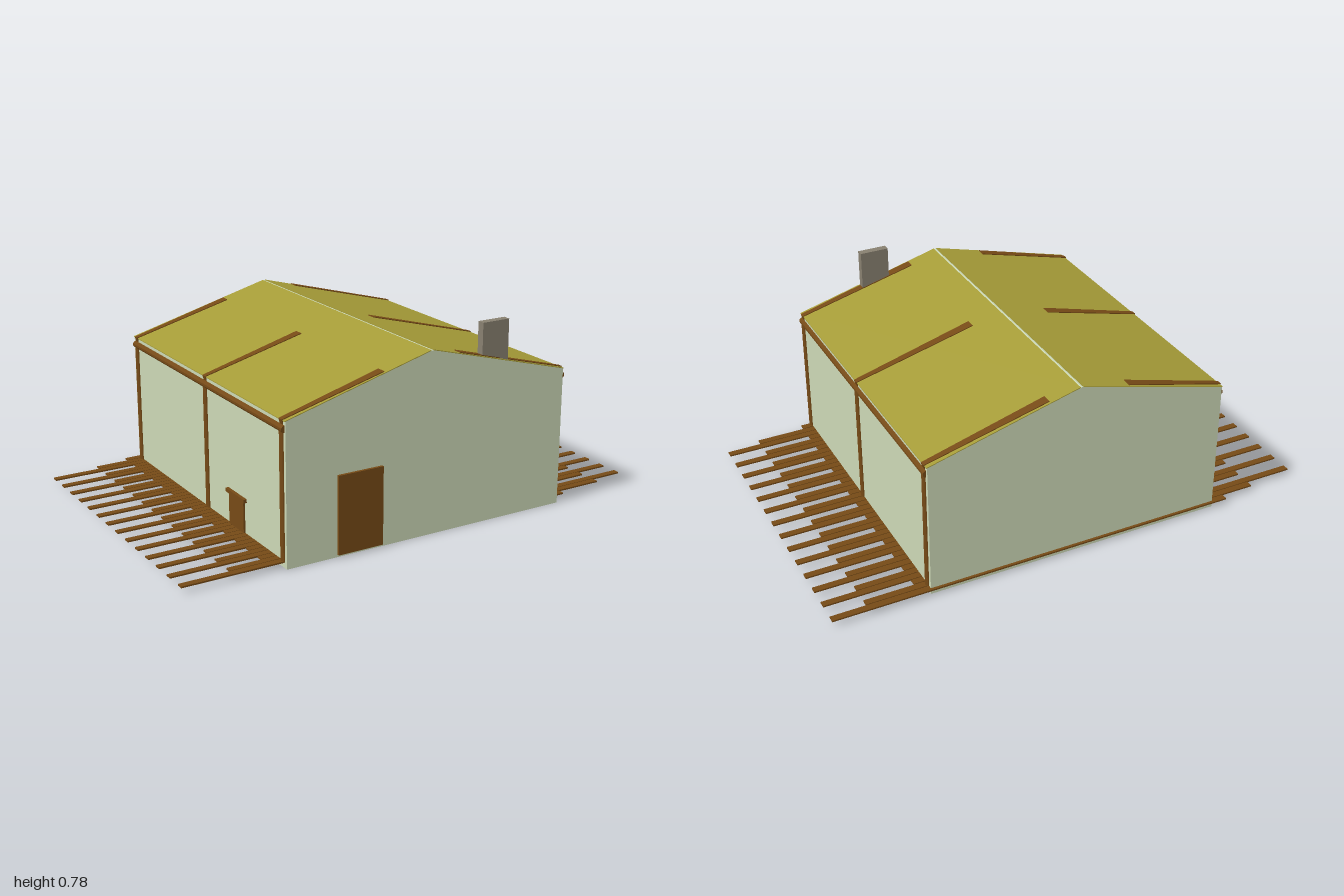
import * as THREE from 'three';

const CX = 0.008;      // ridge line
const HALF = 0.607;    // half width of the house
const EAVE = 0.55, RIDGE = 0.713;
const BACK = -0.635, FRONT = 0.632;

const mat = (color) => new THREE.MeshStandardMaterial({ color, flatShading: true });

export function createModel() {
  const model = new THREE.Group();
  const wall = mat(0xccd8b6);
  const roof = mat(0xa69c38);
  const wood = mat(0x764a16);
  const stone = mat(0x888070);

  const add = (name, geometry, material, x = 0, y = 0, z = 0) => {
    const mesh = new THREE.Mesh(geometry, material);
    mesh.name = name;
    mesh.position.set(x, y, z);
    model.add(mesh);
    return mesh;
  };
  // Box given by its lower and upper corners
  const box = (name, material, x0, x1, y0, y1, z0, z1) =>
    add(name, new THREE.BoxGeometry(x1 - x0, y1 - y0, z1 - z0), material,
      (x0 + x1) / 2, (y0 + y1) / 2, (z0 + z1) / 2);

  // House body with its gables
  const gable = new THREE.Shape([
    [-HALF, 0], [HALF, 0], [HALF, EAVE], [0, RIDGE], [-HALF, EAVE],
  ].map(([x, y]) => new THREE.Vector2(x, y)));
  add('houseBody', new THREE.ExtrudeGeometry(gable, { depth: FRONT - BACK, bevelEnabled: false }),
    wall, CX, 0, BACK);

  // Door and chimney on the front
  box('frontDoor', wood, -0.392, -0.204, 0.01, 0.315, 0.625, 0.643);
  box('chimney', stone, 0.237, 0.355, 0.6, 0.78, 0.592, 0.622);

  // Small hatch with a lintel on the right wall
  box('sideHatch', wood, -0.606, -0.58, 0.02, 0.15, 0.205, 0.32);
  box('hatchLintel', wood, -0.612, -0.58, 0.15, 0.164, 0.19, 0.335);

  const slope = (RIDGE - EAVE) / HALF;
  const roofY = (d) => RIDGE - slope * d; // height at distance d from the ridge
  const postZ = [-0.607, 0.018, 0.606];

  for (const side of [-1, 1]) {
    // Thin roof panel, leaving the ridge strip open
    const panel = new THREE.Shape([
      [0.006, 0], [HALF + 0.003, 0], [HALF + 0.003, 0.003], [0.006, 0.003],
    ].map(([d, t]) => new THREE.Vector2(side * d, roofY(d) + t)));
    add('roofPanel', new THREE.ExtrudeGeometry(panel, { depth: FRONT - BACK, bevelEnabled: false }),
      roof, CX, 0, BACK);

    // Eave beam
    const beam = add('eaveBeam', new THREE.CylinderGeometry(0.014, 0.014, 1.25, 10), wood,
      CX + side * 0.606, 0.521, 0);
    beam.rotation.x = Math.PI / 2;

    for (const z of postZ) {
      add('post', new THREE.CylinderGeometry(0.014, 0.014, 0.5, 10), wood,
        CX + side * 0.603, 0.272, z);

      // Rafter lying in the roof, widening toward the ridge
      const top = side > 0 ? 0.125 : 0.2;
      const run = HALF + 0.004 - top;
      const length = run * Math.hypot(1, slope);
      const rafter = new THREE.BoxGeometry(length, 0.02, 1);
      const p = rafter.attributes.position;
      for (let i = 0; i < p.count; i++) {
        const inner = p.getX(i) * side < 0;
        p.setZ(i, p.getZ(i) * (inner ? 0.038 : 0.022));
      }
      const mid = top + run / 2;
      const mesh = add('rafter', rafter, wood, CX + side * mid, roofY(mid) - 0.004, z);
      mesh.rotation.z = -side * Math.atan(slope);
    }
  }

  // Floor planks, staggered in a repeat of three
  const shifts = [0.17, 0.03, -0.17];
  for (let i = 0; i < 42; i++) {
    const x = shifts[i % 3];
    add('floorPlank', new THREE.BoxGeometry(1.66, 0.006, 0.027), wood, x, 0.023, -0.632 + i * 0.0301);
  }

  return model;
}
